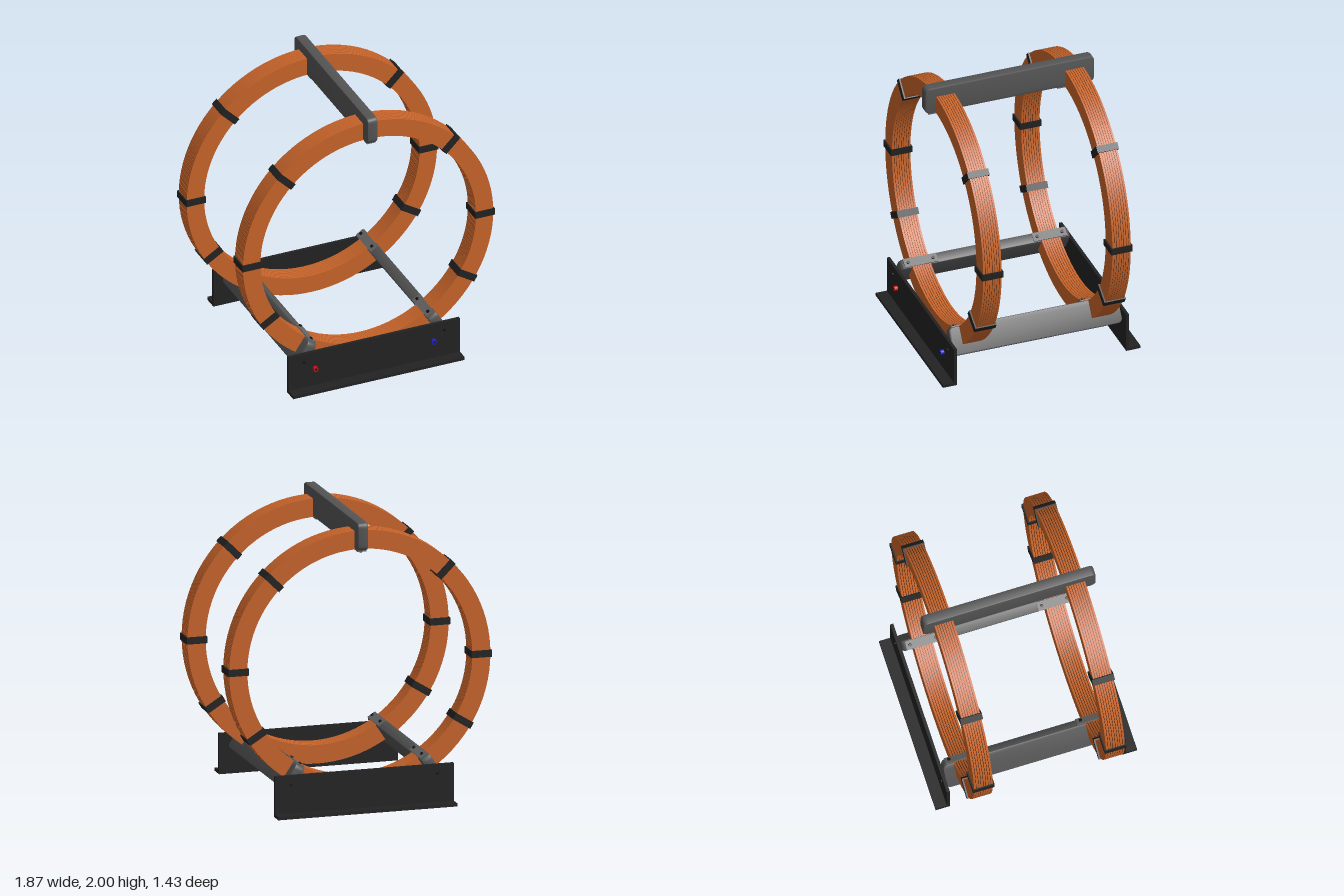
import * as THREE from 'three';
import { toCreasedNormals } from 'three/addons/utils/BufferGeometryUtils.js';

const CY = 1.005;            // height of the coil axis
const R0 = 0.798, R1 = 0.927; // inner and outer coil radius
const COIL_Z = 0.468, COIL_W = 0.136, TURNS = 8;

const mat = (color) => new THREE.MeshStandardMaterial({ color });
const copper = mat(0xc8642a), grey = mat(0x545454), black = mat(0x222222);
const steel = mat(0x666666), dark = mat(0x151515), red = mat(0xcc1111), blue = mat(0x2222cc);

function add(parent, name, geometry, material, x = 0, y = 0, z = 0) {
  const mesh = new THREE.Mesh(geometry, material);
  mesh.name = name;
  mesh.position.set(x, y, z);
  parent.add(mesh);
  return mesh;
}

const box = (w, h, d) => new THREE.BoxGeometry(w, h, d);

// Ring of rectangular section, axis along z
function ring(r0, r1, width) {
  const h = width / 2;
  const profile = [[r0, -h], [r1, -h], [r1, h], [r0, h], [r0, -h]].map(([x, y]) => new THREE.Vector2(x, y));
  return toCreasedNormals(new THREE.LatheGeometry(profile, 96).rotateX(Math.PI / 2), 0.6);
}

// Bar along z with rounded ends and a small bevel, lying between two radii
function barGeometry(r0, r1, halfLength, width) {
  const c = 0.03, b = 0.008;
  const x0 = -halfLength + b, x1 = halfLength - b, y0 = r0 + b, y1 = r1 - b;
  const s = new THREE.Shape();
  s.moveTo(x0 + c, y0);
  s.lineTo(x1 - c, y0);
  s.quadraticCurveTo(x1, y0, x1, y0 + c);
  s.lineTo(x1, y1 - c);
  s.quadraticCurveTo(x1, y1, x1 - c, y1);
  s.lineTo(x0 + c, y1);
  s.quadraticCurveTo(x0, y1, x0, y1 - c);
  s.lineTo(x0, y0 + c);
  s.quadraticCurveTo(x0, y0, x0 + c, y0);
  const depth = width - 2 * b;
  const g = new THREE.ExtrudeGeometry(s, { depth, bevelSize: b, bevelThickness: b, bevelSegments: 2, curveSegments: 5 });
  return toCreasedNormals(g.translate(0, 0, -depth / 2).rotateY(Math.PI / 2), 0.5);
}

function createCoil() {
  const coil = new THREE.Group();
  coil.name = 'coil';
  // Stacked flat turns around a dark insulating core
  const pitch = COIL_W / TURNS;
  const turn = ring(R0, R1, pitch - 0.003);
  for (let i = 0; i < TURNS; i++) add(coil, 'coilTurn', turn, copper, 0, 0, (i - (TURNS - 1) / 2) * pitch);
  add(coil, 'insulation', ring(R0 + 0.004, R1 - 0.004, COIL_W - 0.01), dark);
  // Straps wrapped around the winding
  for (const deg of [0, 45, -32, 180, 135, 212]) {
    const holder = new THREE.Group();
    holder.name = 'strap';
    holder.rotation.z = THREE.MathUtils.degToRad(deg);
    add(holder, 'strapBand', box(R1 - R0 + 0.016, 0.048, COIL_W + 0.018), black, (R0 + R1) / 2);
    coil.add(holder);
  }
  return coil;
}

// Spacer bar with clamp plates and screws on its inner face
function createBar(angle) {
  const bar = new THREE.Group();
  bar.name = 'spacerBar';
  bar.position.y = CY;
  bar.rotation.z = angle;
  add(bar, 'barBody', barGeometry(0.8, 0.995, 0.613, 0.074), grey);
  for (const side of [-1, 1]) {
    add(bar, 'clampPlate', box(0.064, 0.008, 0.24), steel, 0, 0.795, side * 0.467);
    for (const z of [0.377, 0.557])
      add(bar, 'clampScrew', new THREE.CylinderGeometry(0.011, 0.011, 0.012, 16), dark, 0, 0.788, side * z);
  }
  return bar;
}

// L-shaped foot, its ledge pointing outward along +z
function createFoot() {
  const foot = new THREE.Group();
  foot.name = 'foot';
  add(foot, 'footPlate', box(1.27, 0.285, 0.022), black, 0, 0.1425, 0.624);
  add(foot, 'footLedge', box(1.27, 0.022, 0.08), black, 0, 0.011, 0.675);
  for (const x of [-0.52, 0.52])
    add(foot, 'footScrew', new THREE.CylinderGeometry(0.01, 0.01, 0.01, 16).rotateX(Math.PI / 2), dark, x, 0.22, 0.636);
  return foot;
}

export function createModel() {
  const model = new THREE.Group();
  model.name = 'coilPair';

  for (const side of [-1, 1]) {
    const coil = createCoil();
    coil.position.set(0, CY, side * COIL_Z);
    model.add(coil);
    const foot = createFoot();
    if (side < 0) foot.rotation.y = Math.PI;
    model.add(foot);
  }

  // One bar on top, two near the bottom
  const low = THREE.MathUtils.degToRad(180 - 33.3);
  for (const angle of [0, low, -low]) model.add(createBar(angle));

  // Connection sockets on the front foot
  for (const [name, x, material] of [['redTerminal', -0.44, red], ['blueTerminal', 0.437, blue]]) {
    add(model, name, new THREE.CylinderGeometry(0.018, 0.018, 0.026, 20).rotateX(Math.PI / 2), material, x, 0.155, 0.646);
    add(model, name + 'Hole', new THREE.CylinderGeometry(0.009, 0.009, 0.002, 16).rotateX(Math.PI / 2), dark, x, 0.155, 0.659);
  }
  return model;
}
